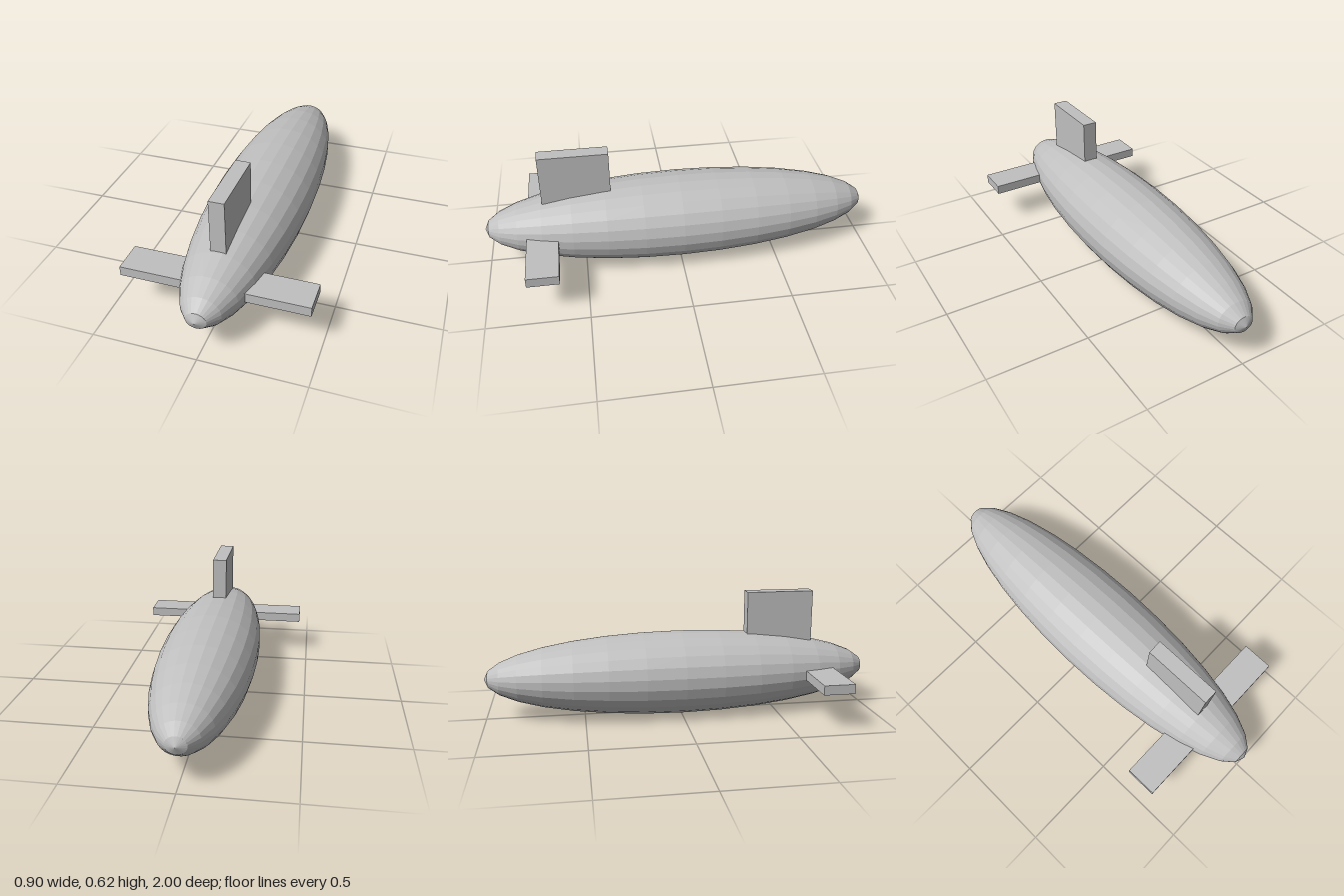
import * as THREE from 'three';

export function createModel() {
  const model = new THREE.Group();
  const grey = new THREE.MeshStandardMaterial({ color: 0xc0c0c0 });
  grey.name = 'hull grey';
  grey.flatShading = true;
  const midY = 0.2135;

  const add = (name, geometry, x, y, z) => {
    const mesh = new THREE.Mesh(geometry, grey);
    mesh.name = name;
    mesh.position.set(x, y, z);
    model.add(mesh);
  };

  // Faceted hull: poles at bow and stern, a flat facet along the keel
  const hull = new THREE.SphereGeometry(1, 24, 16);
  hull.rotateY(Math.PI / 24);
  hull.rotateX(Math.PI / 2);
  hull.scale(0.25, 0.2133, 1);
  add('hull', hull, 0, midY, 0);

  // Upright fin on the back of the hull
  add('topFin', new THREE.BoxGeometry(0.074, 0.377, 0.348), 0, 0.4385, 0.524);

  // Mirrored side fins
  for (const side of [1, -1]) {
    add(side > 0 ? 'leftFin' : 'rightFin',
      new THREE.BoxGeometry(0.4, 0.048, 0.158), side * 0.25, 0.214, 0.708);
  }
  return model;
}
